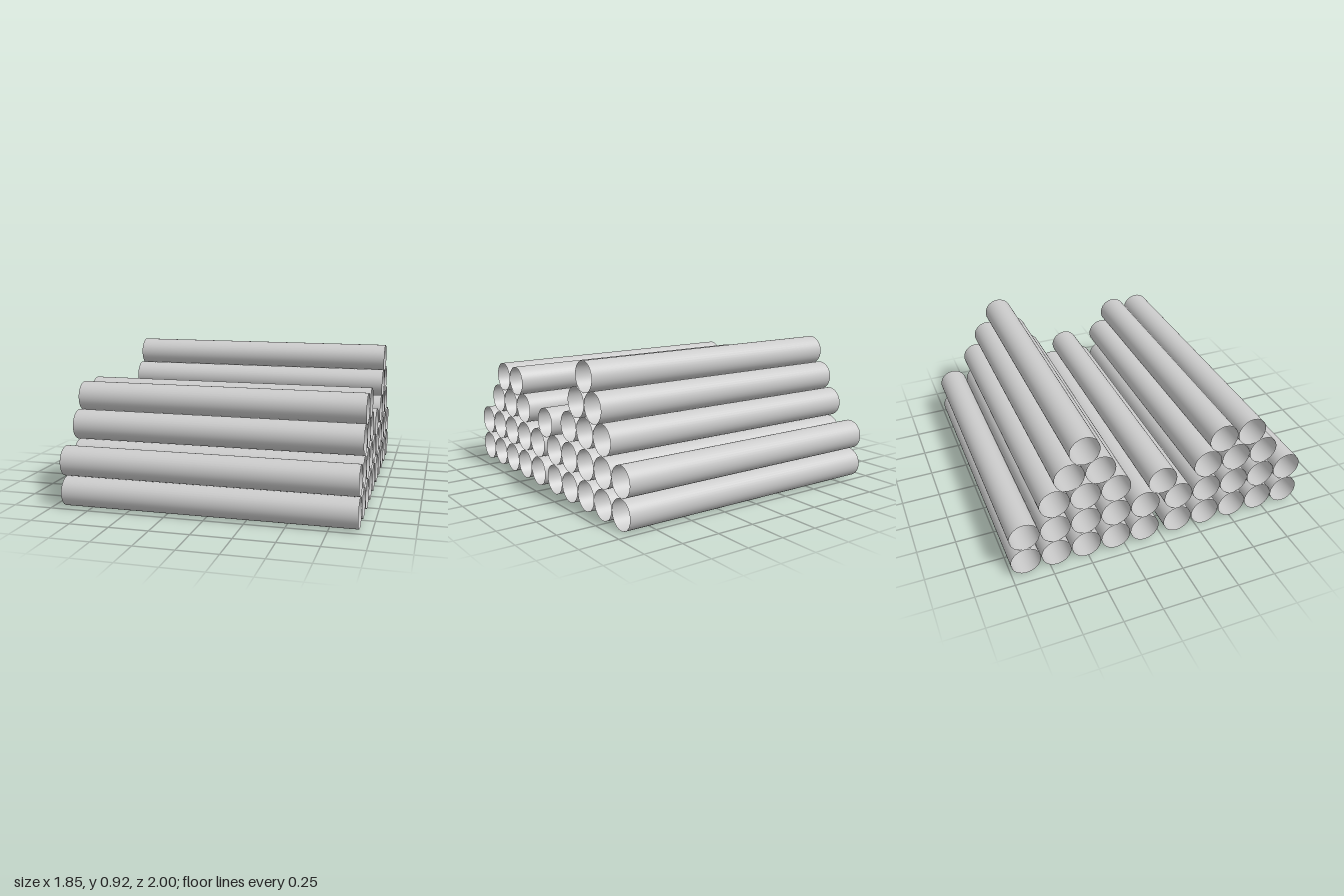
import * as THREE from 'three';

export function createModel() {
  const model = new THREE.Group();
  model.name = 'pipeStack';

  const radius = 0.0955, length = 1.85;
  const material = new THREE.MeshStandardMaterial({ color: 0xcccccc, side: THREE.DoubleSide });

  // One thin open pipe lying along x, shared by the whole stack
  const pipe = new THREE.CylinderGeometry(radius, radius, length, 40, 1, true);
  pipe.rotateZ(Math.PI / 2);

  // Two full layers: two bundles of five with a wider gap in the middle
  const half = [0.1145, 0.312, 0.51, 0.707, 0.9045];
  const full = [...half, ...half.map((z) => -z)];

  // Each layer: height of the pipe axes and their z positions
  const layers = [
    { name: 'bottomLayer', y: radius, z: full },
    { name: 'secondLayer', y: 0.29, z: full },
    { name: 'thirdLayer', y: 0.485, z: [0.312, 0.51, 0.707, -0.312, -0.51, -0.707] },
    { name: 'middlePipe', y: 0.447, z: [0] }, // nestles in the central gap
    { name: 'fourthLayer', y: 0.654, z: [0.411, 0.609, -0.411, -0.609] },
    { name: 'topPipe', y: 0.822, z: [-0.51] },
  ];

  for (const layer of layers) {
    const group = new THREE.Group();
    group.name = layer.name;
    for (const z of layer.z) {
      const mesh = new THREE.Mesh(pipe, material);
      mesh.name = 'pipe';
      mesh.position.set(0, layer.y, z);
      group.add(mesh);
    }
    model.add(group);
  }
  return model;
}
